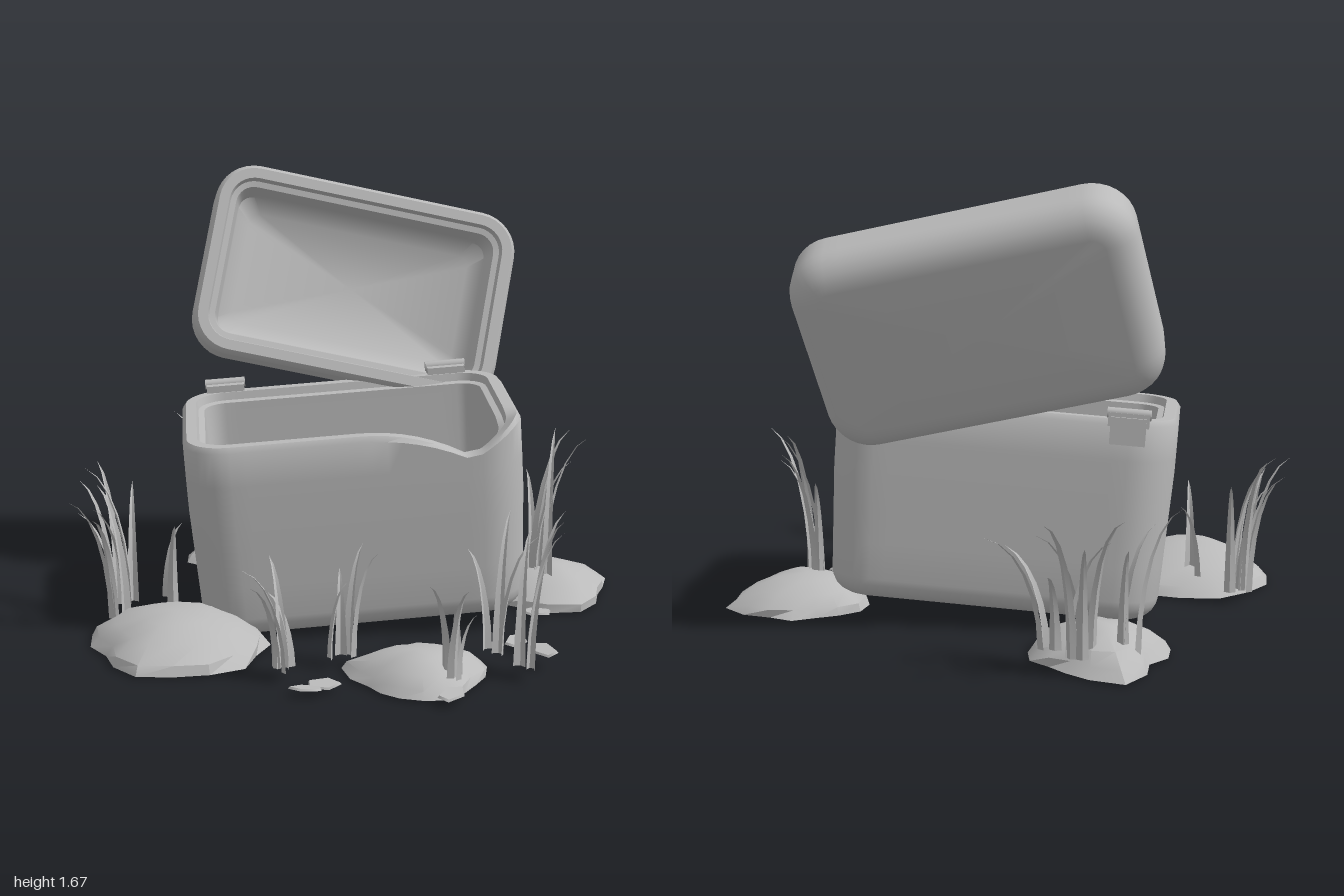
import * as THREE from 'three';
import { toCreasedNormals } from 'three/addons/utils/BufferGeometryUtils.js';

const grey = new THREE.MeshStandardMaterial({ color: 0xbababa, side: THREE.DoubleSide });
grey.name = 'stone grey';

let seed = 7;
const rand = () => (seed = (seed * 16807) % 2147483647) / 2147483647;
const V = (x, y, z) => new THREE.Vector3(x, y, z);

function add(parent, geometry, name) {
  const mesh = new THREE.Mesh(geometry, grey);
  mesh.name = name;
  parent.add(mesh);
  return mesh;
}

// Skin a list of rings (equal point counts), closed or open
function loft(rings, crease, closed = true) {
  const pos = [], n = rings[0].length;
  const tri = (...p) => p.forEach(q => pos.push(q.x, q.y, q.z));
  for (let k = 0; k < rings.length - 1; k++) {
    const a = rings[k], b = rings[k + 1];
    for (let i = 0; i < (closed ? n : n - 1); i++) {
      const j = (i + 1) % n;
      if (a[i].distanceTo(a[j]) > 1e-6) tri(a[i], b[i], a[j]);
      if (b[i].distanceTo(b[j]) > 1e-6) tri(a[j], b[i], b[j]);
    }
  }
  const g = new THREE.BufferGeometry();
  g.setAttribute('position', new THREE.Float32BufferAttribute(pos, 3));
  return toCreasedNormals(g, crease);
}

// Horizontal rounded rectangle with subdivided straight edges
function roundedRing(hw, hd, r, y) {
  const ring = [];
  const at = (k, a) => {
    const sx = k === 0 || k === 3 ? 1 : -1, sz = k < 2 ? 1 : -1;
    return V(sx * (hw - r) + r * Math.cos(a), y, sz * (hd - r) + r * Math.sin(a));
  };
  for (let c = 0; c < 4; c++) {
    for (let i = 0; i <= 8; i++) ring.push(at(c, (c + i / 8) * Math.PI / 2));
    const end = (c + 1) * Math.PI / 2, p = at(c, end), q = at((c + 1) % 4, end);
    for (let i = 1; i < 16; i++) ring.push(p.clone().lerp(q, i / 16));
  }
  return ring;
}

// Hollow rounded tub: rounded base, wall, stepped rim, inner wall and floor
function tub(w, d, r, h, round, shape = p => p) {
  const profile = [];
  for (let i = 0; i <= 5; i++) {
    const a = i / 5 * Math.PI / 2;
    profile.push([round * (1 - Math.sin(a)), round * (1 - Math.cos(a))]);
  }
  for (let i = 1; i <= 5; i++) profile.push([0, round + (h - 0.02 - round) * i / 5]);
  profile.push([0.015, h], [0.055, h], [0.062, h - 0.03], [0.085, h - 0.035]);
  for (let i = 1; i <= 4; i++) profile.push([0.085 + 0.005 * i, h - 0.035 - (h - 0.15) * i / 4]);
  profile.push([0.16, 0.07]);
  const rings = profile.map(([inset, y]) =>
    roundedRing(w / 2 - inset, d / 2 - inset, Math.max(r - inset, 0.04), y).map(shape));
  const centre = y => rings[0].map(() => V(0, y, 0));
  return loft([centre(0), ...rings, centre(0.07)], 0.7);
}

// Broken notch in the front rim and a slight taper toward the base
function weatherBody(p) {
  const notch = p.x < 0.43 ? Math.pow(Math.max(0, p.x / 0.43), 2.2) : Math.max(0, (0.61 - p.x) / 0.18);
  const top = Math.pow(Math.max(0, p.y / 0.76), 6);
  p.y -= 0.125 * notch * top * THREE.MathUtils.smoothstep(p.z, 0.15, 0.3);
  const taper = 0.965 + 0.035 * Math.min(1, p.y / 0.5);
  p.x *= taper;
  p.z *= taper;
  return p;
}

// Rough dome described by footprint radii, +x turning toward +z
function mound(parent, x, y, z, height, radii, name) {
  const n = radii.length * 2;
  const outline = Array.from({ length: n }, (_, i) =>
    (radii[i >> 1] + radii[((i + 1) >> 1) % radii.length]) / 2);
  const rings = [];
  for (let k = 0; k <= 4; k++) {
    const s = Math.cos(k / 4 * Math.PI / 2), h = Math.pow(Math.sin(k / 4 * Math.PI / 2), 1.4);
    rings.push(outline.map((r, i) => {
      const a = i / n * Math.PI * 2, q = k === 4 ? 0 : r * s * (0.94 + 0.12 * rand());
      return V(Math.cos(a) * q, height * h, Math.sin(a) * q);
    }));
  }
  add(parent, loft(rings, 0.6), name).position.set(x, y, z);
}

// Curved folded strip: grass tapers and droops, a leaf swells and arches
function blade(parent, base, tip, width, name, arch = 0) {
  const out = V(tip.x, 0, tip.z).normalize(), side = V(-out.z, 0, out.x);
  const rings = [];
  for (let i = 0; i <= 6; i++) {
    const t = i / 6;
    const w = width * (arch ? Math.sin(Math.PI * (0.08 + 0.92 * t)) : Math.pow(1 - t, 0.8));
    const run = arch ? t : Math.pow(t, 1.8);
    const rise = arch ? tip.y * t + arch * Math.sin(Math.PI * t) : tip.y * Math.sin(t * 1.4) / Math.sin(1.4);
    const c = base.clone().add(V(tip.x * run, rise, tip.z * run));
    rings.push([c.clone().addScaledVector(side, w / 2), c.clone().addScaledVector(out, w * 0.3), c.clone().addScaledVector(side, -w / 2)]);
  }
  add(parent, loft(rings, 0.5, false), name);
}

// Fan of grass blades leaning mostly toward one heading
function tuft(parent, [x, y, z, heading, reach, height, count]) {
  const group = new THREE.Group();
  group.name = 'grassTuft';
  parent.add(group);
  for (let i = 0; i < count; i++) {
    const a = heading + (i / (count - 1) - 0.5) * 2;
    const size = i % 2 ? 1 : 0.7 + 0.2 * rand();
    const base = V(x + (rand() - 0.5) * 0.08, y, z + (rand() - 0.5) * 0.08);
    blade(group, base, V(Math.cos(a) * reach * size, height * size, Math.sin(a) * reach * size), 0.045, 'grassBlade');
  }
}

export function createModel() {
  const model = new THREE.Group();
  model.name = 'openChest';

  // Tilted chest body
  const chest = new THREE.Group();
  chest.name = 'chest';
  chest.position.set(0.01, 0.045, -0.07);
  chest.quaternion.setFromUnitVectors(V(0, 1, 0), V(-0.04, 1, 0.08).normalize())
    .multiply(new THREE.Quaternion().setFromAxisAngle(V(0, 1, 0), 0.43));
  model.add(chest);
  add(chest, tub(1.27, 0.81, 0.17, 0.758, 0.08, weatherBody), 'body');

  // Hinges along the back rim
  for (const x of [-0.46, 0.43]) {
    const hinge = new THREE.Group();
    hinge.name = 'hinge';
    hinge.position.set(x, 0.76, -0.39);
    chest.add(hinge);
    add(hinge, new THREE.BoxGeometry(0.15, 0.05, 0.07), 'hingeBlock');
    add(hinge, new THREE.BoxGeometry(0.13, 0.1, 0.03), 'hingeBackPlate').position.set(0, -0.04, -0.03);
    const pin = add(hinge, new THREE.CylinderGeometry(0.02, 0.02, 0.16, 10), 'hingePin');
    pin.rotation.z = Math.PI / 2;
    pin.position.set(0, 0.022, -0.015);
  }

  // Lid standing open, its hollow facing forward
  const along = V(0.891, -0.214, -0.401).normalize();
  const facing = V(0.453, 0.345, 0.821);
  facing.addScaledVector(along, -facing.dot(along)).normalize();
  const lid = add(model, tub(1.24, 0.78, 0.16, 0.25, 0.11), 'lid');
  lid.quaternion.setFromRotationMatrix(
    new THREE.Matrix4().makeBasis(along, facing, along.clone().cross(facing)));
  lid.position.set(-0.2, 1.17, -0.56).addScaledVector(facing, -0.125);

  // Earth mounds around and inside the chest
  mound(model, -0.45, 0, 0.65, 0.14, [0.34, 0.35, 0.34, 0.28, 0.34, 0.38, 0.36, 0.34], 'frontLeftMound');
  mound(model, 0.5, 0, 0.66, 0.11, [0.2, 0.23, 0.21, 0.2, 0.28, 0.24, 0.25, 0.28], 'frontRightMound');
  mound(model, 0.63, 0, -0.48, 0.12, [0.25, 0.34, 0.28, 0.23, 0.25, 0.23, 0.25, 0.3], 'backRightMound');
  mound(model, -0.65, 0, -0.5, 0.13, [0.25, 0.26, 0.2, 0.29, 0.2, 0.32, 0.22, 0.24], 'backLeftMound');
  mound(model, 0, 0.11, -0.02, 0.17, [0.4, 0.26, 0.25, 0.35, 0.4, 0.28, 0.3, 0.46], 'innerMound');

  // Grass tufts: base x, y, z, heading, reach, height, blade count
  [
    [-0.69, 0.06, -0.7, -2.1, 0.22, 0.52, 5],
    [-0.57, 0.06, -0.7, -0.9, 0.22, 0.42, 3],
    [-0.8, 0.05, -0.56, 3.1, 0.17, 0.54, 3],
    [-0.8, 0.04, 0.38, 3.3, 0.17, 0.54, 5],
    [-0.76, 0.04, 0.52, 2.6, 0.17, 0.48, 4],
    [-0.6, 0.08, 0.4, 0, 0.1, 0.34, 2],
    [0.66, 0.06, -0.38, -1.1, 0.18, 0.6, 6],
    [0.72, 0.05, 0.46, -1.6, 0.16, 0.5, 3],
    [0.84, 0.04, 0.52, -0.6, 0.14, 0.56, 4],
    [0.66, 0.06, 0.76, 1, 0.1, 0.34, 4],
    [0.2, 0.03, 0.64, -1, 0.1, 0.4, 4],
    [0.03, 0.03, 0.82, 3, 0.15, 0.38, 4],
    [-0.3, 0.22, 0, -1.6, 0.18, 0.34, 5]
  ].forEach(spec => tuft(model, spec));

  // Broad-leaved plant inside the chest
  const plant = new THREE.Group();
  plant.name = 'plant';
  plant.position.set(0.2, 0.3, -0.12);
  model.add(plant);
  for (let i = 0; i < 6; i++) {
    const a = 0.65 + i * Math.PI / 3, r = i % 2 ? 0.32 : 0.28;
    blade(plant, V(0, 0, 0), V(Math.cos(a) * r, 0.02 + 0.04 * (i % 2), Math.sin(a) * r), 0.14, 'leaf', 0.07);
    if (i % 2) blade(plant, V(0, 0, 0), V(Math.cos(a) * 0.07, 0.1, Math.sin(a) * 0.07), 0.04, 'youngLeaf', 0.02);
  }

  // Scattered flat chips
  [
    [0.73, 0.02, 0.21], [0.72, 0.03, -0.11], [0.88, 0.06, 0.38], [0.22, 0.02, 0.88], [0.18, 0.02, 0.94],
    [0.68, 0.03, 0.84], [0.43, 0.27, -0.32], [-0.4, 0.16, 0.25], [-0.28, 0.17, 0.24], [-0.36, 0.15, 0.38]
  ].forEach(p => {
    const chip = add(model, new THREE.CylinderGeometry(0.045, 0.05, 0.008, 5), 'chip');
    chip.scale.set(0.8, 1, 1.3);
    chip.rotation.set((rand() - 0.5) * 0.3, rand() * 6, (rand() - 0.5) * 0.3);
    chip.position.set(...p);
  });
  return model;
}
